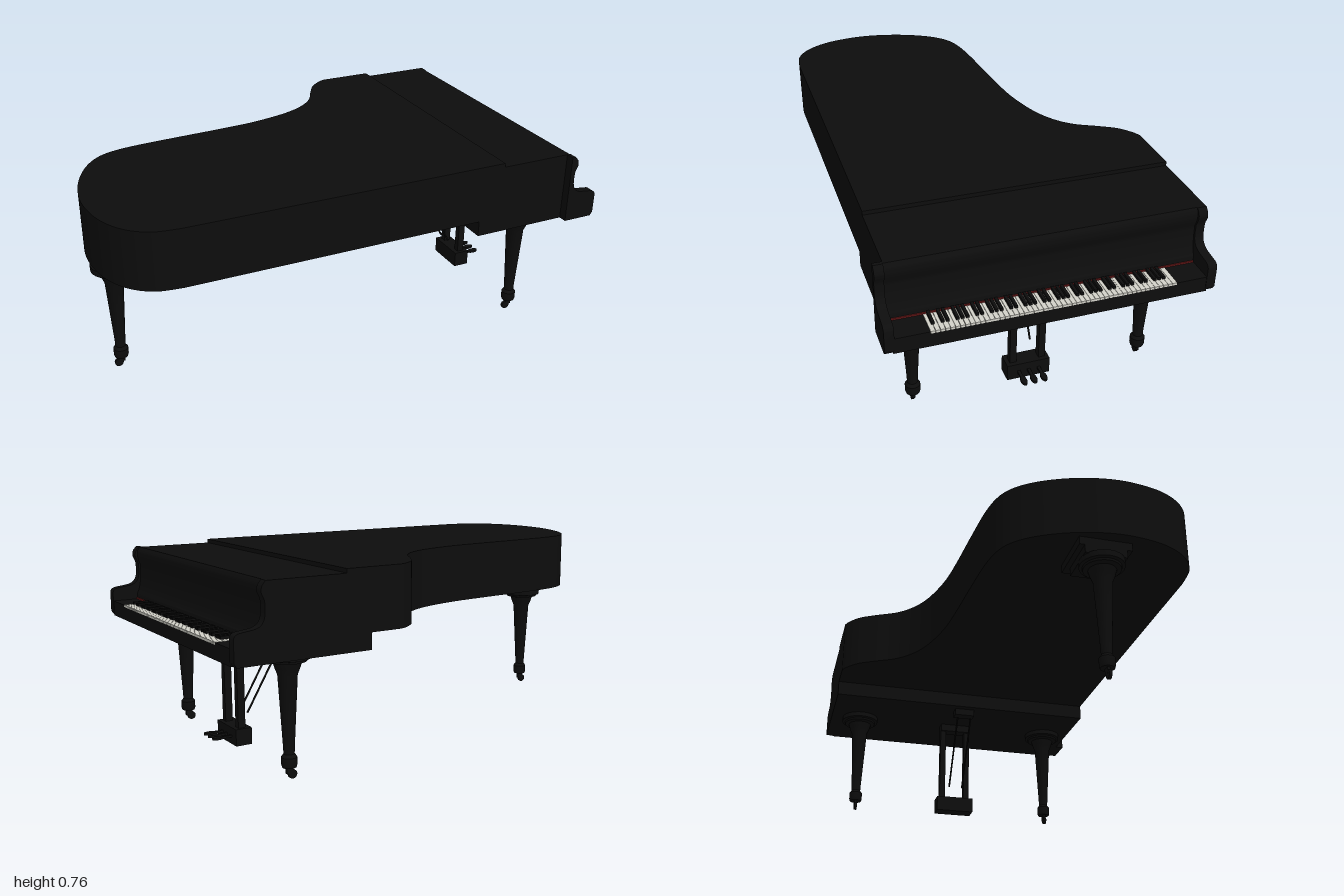
import * as THREE from 'three';
import { toCreasedNormals } from 'three/addons/utils/BufferGeometryUtils.js';

const ebony = new THREE.MeshStandardMaterial({ color: 0x0d0d0d });
ebony.name = 'black lacquer';
const ivory = new THREE.MeshStandardMaterial({ color: 0xd4d3ca });
ivory.name = 'ivory';
const felt = new THREE.MeshStandardMaterial({ color: 0x701a1a });
felt.name = 'red felt';

function add(parent, name, geometry, material = ebony) {
  const mesh = new THREE.Mesh(geometry, material);
  mesh.name = name;
  parent.add(mesh);
  return mesh;
}

// Box given by its minimum and maximum on each axis
function block(parent, name, [x0, x1], [y0, y1], [z0, z1], material) {
  const mesh = add(parent, name, new THREE.BoxGeometry(x1 - x0, y1 - y0, z1 - z0), material);
  mesh.position.set((x0 + x1) / 2, (y0 + y1) / 2, (z0 + z1) / 2);
  return mesh;
}

// Plan outline: straight side at +z, round tail at -x, bent side at -z
function planShape(frontX) {
  const bend = [
    [-0.74, 0.57], [-0.84, 0.553], [-0.92, 0.495], [-0.975, 0.4], [-1, 0.28], [-0.998, 0.17],
    [-0.97, 0.05], [-0.92, -0.06], [-0.86, -0.135], [-0.79, -0.175], [-0.68, -0.197],
    [-0.5, -0.211], [-0.3, -0.224], [-0.15, -0.24], [0, -0.277], [0.1, -0.325], [0.17, -0.39],
    [0.22, -0.48], [0.26, -0.545], [0.31, -0.588], [0.345, -0.605],
  ].map(([x, z]) => new THREE.Vector2(x, -z));
  const shape = new THREE.Shape();
  shape.moveTo(frontX, -0.57);
  shape.lineTo(bend[0].x, bend[0].y);
  shape.splineThru(bend.slice(1));
  shape.lineTo(frontX, 0.605);
  shape.closePath();
  return shape;
}

function slab(parent, name, shape, y0, y1) {
  const g = new THREE.ExtrudeGeometry(shape, { depth: y1 - y0, bevelEnabled: false, curveSegments: 80 });
  g.rotateX(-Math.PI / 2);
  add(parent, name, toCreasedNormals(g, 0.5)).position.y = y0;
}

// Side profile (x, y) extruded between two z values
function profile(parent, name, shape, z0, z1) {
  const g = new THREE.ExtrudeGeometry(shape, { depth: z1 - z0, bevelEnabled: false, curveSegments: 10 });
  add(parent, name, toCreasedNormals(g, 0.5)).position.z = z0;
}

function armShape() {
  const s = new THREE.Shape();
  s.moveTo(0.865, 0.465);
  s.lineTo(0.99, 0.465);
  s.lineTo(1, 0.48);
  s.lineTo(1, 0.56);
  s.quadraticCurveTo(0.997, 0.578, 0.975, 0.58);
  s.lineTo(0.935, 0.585);
  s.bezierCurveTo(0.875, 0.59, 0.885, 0.64, 0.885, 0.675);
  s.bezierCurveTo(0.89, 0.7, 0.905, 0.7, 0.893, 0.73);
  s.lineTo(0.88, 0.745);
  s.lineTo(0.865, 0.745);
  s.closePath();
  return s;
}

function fallboardShape() {
  const s = new THREE.Shape();
  s.moveTo(0.86, 0.51);
  s.lineTo(0.896, 0.51);
  s.lineTo(0.896, 0.55);
  s.quadraticCurveTo(0.876, 0.58, 0.876, 0.67);
  s.quadraticCurveTo(0.892, 0.7, 0.886, 0.73);
  s.lineTo(0.876, 0.745);
  s.lineTo(0.86, 0.745);
  s.closePath();
  return s;
}

// Turned, tapering leg with a caster
function leg(parent, name, x, z) {
  const g = new THREE.Group();
  g.name = name;
  g.position.set(x, 0, z);
  const points = [
    [0, 0.045], [0.026, 0.045], [0.029, 0.055], [0.029, 0.083], [0.02, 0.095], [0.021, 0.12],
    [0.036, 0.385], [0.046, 0.41], [0.052, 0.43], [0.07, 0.434], [0.072, 0.442], [0.084, 0.445],
    [0.084, 0.468], [0, 0.468],
  ].map(p => new THREE.Vector2(...p));
  add(g, 'turnedLeg', toCreasedNormals(new THREE.LatheGeometry(points, 24), 0.5));
  block(g, 'casterFork', [-0.014, 0.012], [0.02, 0.05], [-0.006, 0.006]);
  const wheel = add(g, 'casterWheel', new THREE.CylinderGeometry(0.017, 0.017, 0.011, 16));
  wheel.rotation.x = Math.PI / 2;
  wheel.position.set(-0.012, 0.017, 0);
  parent.add(g);
}

function keyboard(parent) {
  const g = new THREE.Group();
  g.name = 'keyboard';
  const pitch = 0.9 / 52;
  for (let i = 0; i < 52; i++) {
    const z = 0.447 - i * pitch;
    block(g, 'whiteKey', [0.9, 0.998], [0.518, 0.527], [z - pitch + 0.0006, z - 0.0006], ivory);
    if (i < 51 && [0, 2, 3, 5, 6].includes(i % 7)) {
      const c = z - pitch;
      block(g, 'blackKey', [0.899, 0.964], [0.525, 0.538], [c - 0.0055, c + 0.0055]);
    }
  }
  parent.add(g);
}

function pedalLyre(parent) {
  const g = new THREE.Group();
  g.name = 'pedalLyre';
  block(g, 'lyreTop', [0.705, 0.755], [0.432, 0.468], [-0.071, 0.071]);
  block(g, 'pedalBox', [0.695, 0.762], [0.023, 0.09], [-0.085, 0.086]);
  for (const s of [-1, 1]) {
    block(g, 'lyrePost', [0.715, 0.745], [0.085, 0.44], [s * 0.058 - 0.013, s * 0.058 + 0.013]);
    // Diagonal brace running up to the underside
    const brace = new THREE.LineCurve3(
      new THREE.Vector3(0.515, 0.426, s * 0.031), new THREE.Vector3(0.686, 0.135, s * 0.031));
    add(g, 'brace', new THREE.TubeGeometry(brace, 1, 0.004, 8));
  }
  block(g, 'braceBracket', [0.5, 0.545], [0.435, 0.468], [-0.045, 0.045]);
  for (const z of [-0.04, 0, 0.04]) {
    block(g, 'pedalStem', [0.755, 0.81], [0.051, 0.059], [z - 0.006, z + 0.006]);
    const toe = add(g, 'pedalToe', new THREE.CylinderGeometry(0.012, 0.012, 0.009, 16));
    toe.scale.x = 2;
    toe.position.set(0.818, 0.055, z);
  }
  parent.add(g);
}

export function createModel() {
  const piano = new THREE.Group();
  piano.name = 'grandPiano';

  // Case, lid and keybed
  slab(piano, 'case', planShape(0.87), 0.528, 0.745);
  slab(piano, 'lid', planShape(0.57), 0.745, 0.761);
  block(piano, 'keybed', [0.47, 0.87], [0.465, 0.53], [-0.605, 0.57]);
  block(piano, 'keySlip', [0.865, 0.998], [0.465, 0.518], [-0.575, 0.575]);

  // Arms, fallboard and felt
  profile(piano, 'bassArm', armShape(), 0.57, 0.605);
  profile(piano, 'trebleArm', armShape(), -0.605, -0.57);
  profile(piano, 'fallboard', fallboardShape(), -0.57, 0.57);
  block(piano, 'feltStrip', [0.894, 0.901], [0.525, 0.532], [-0.568, 0.568], felt);
  block(piano, 'bassKeyBlock', [0.895, 0.998], [0.515, 0.526], [0.447, 0.57]);
  block(piano, 'trebleKeyBlock', [0.895, 0.998], [0.515, 0.526], [-0.57, -0.453]);
  keyboard(piano);

  // Legs and tail leg mount
  leg(piano, 'bassLeg', 0.735, 0.452);
  leg(piano, 'trebleLeg', 0.735, -0.468);
  leg(piano, 'tailLeg', -0.903, 0.18);
  block(piano, 'tailMountUpper', [-0.955, -0.75], [0.497, 0.53], [0.08, 0.28]);
  block(piano, 'tailMountLower', [-0.955, -0.787], [0.465, 0.5], [0.1, 0.26]);

  pedalLyre(piano);
  return piano;
}
